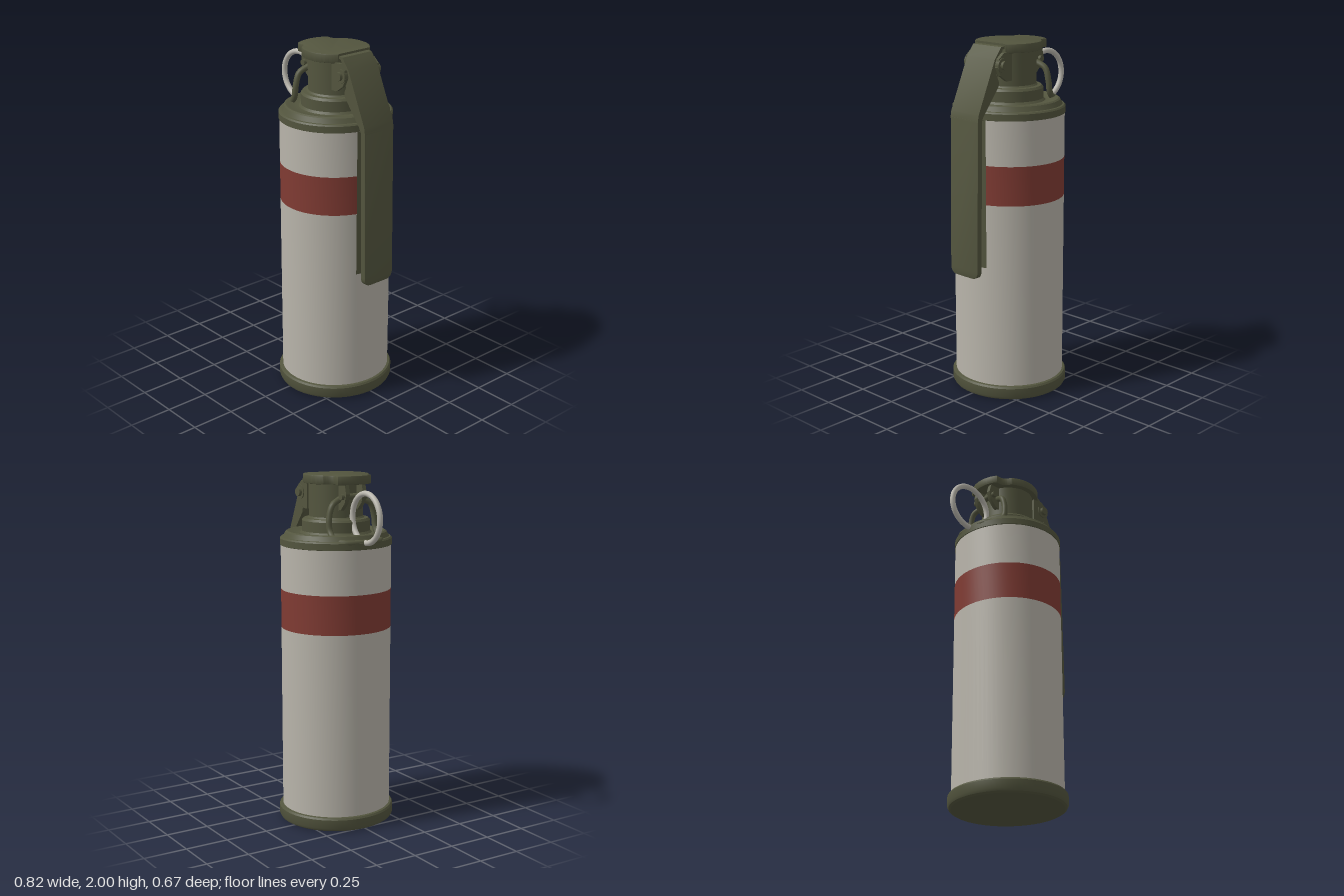
import * as THREE from 'three';
import { toCreasedNormals } from 'three/addons/utils/BufferGeometryUtils.js';

const mat = (name, color) => {
  const m = new THREE.MeshStandardMaterial({ color });
  m.name = name;
  return m;
};

export function createModel() {
  const olive = mat('olive metal', 0x53553e);
  const white = mat('pale grey paint', 0xb8b4aa);
  const red = mat('red band paint', 0x803b33);
  const steel = mat('ring steel', 0xbab7ae);

  const model = new THREE.Group();
  model.name = 'canister';
  const add = (parent, name, geometry, material) => {
    const m = new THREE.Mesh(geometry, material);
    m.name = name;
    parent.add(m);
    return m;
  };
  const crease = (g) => toCreasedNormals(g, 0.5);
  const lathe = (pts) => crease(new THREE.LatheGeometry(pts.map(p => new THREE.Vector2(...p)), 72));
  const extrude = (shape, depth, bevel = 0) => crease(new THREE.ExtrudeGeometry(shape, {
    depth, curveSegments: 20, bevelEnabled: bevel > 0, bevelSize: bevel,
    bevelThickness: bevel, bevelOffset: -bevel, bevelSegments: 2,
  }));
  const poly = (pts) => new THREE.Shape(pts.map(p => new THREE.Vector2(...p)));
  const tube = (pts, r, closed = false) => new THREE.TubeGeometry(
    new THREE.CatmullRomCurve3(pts.map(p => new THREE.Vector3(...p)), closed), 64, r, 12, closed);

  // Turned parts share one slightly narrowed axis
  const turned = new THREE.Group();
  turned.name = 'turnedBody';
  turned.position.x = 0.045;
  turned.scale.x = 0.97;
  model.add(turned);

  add(turned, 'baseCap', lathe([[0, 0], [0.315, 0], [0.328, 0.008], [0.335, 0.022],
    [0.335, 0.07], [0.328, 0.08], [0.31, 0.084]]), olive);
  add(turned, 'lowerBody', lathe([[0.315, 0.07], [0.315, 1.135]]), white);
  add(turned, 'redBand', lathe([[0.315, 1.135], [0.315, 1.355]]), red);
  add(turned, 'upperBody', lathe([[0.315, 1.355], [0.315, 1.61]]), white);
  add(turned, 'topCap', lathe([[0.31, 1.602], [0.319, 1.606], [0.319, 1.642], [0.312, 1.65],
    [0.302, 1.652], [0.288, 1.678], [0.278, 1.684], [0.262, 1.682], [0.235, 1.672],
    [0.205, 1.672], [0.194, 1.684]]), olive);
  add(turned, 'neck', lathe([[0.194, 1.67], [0.194, 1.742], [0.184, 1.755], [0.162, 1.757],
    [0.154, 1.766], [0.154, 1.955]]), olive);

  // Painted strip on the body behind the lever
  add(turned, 'leverBacking', new THREE.CylinderGeometry(0.318, 0.318, 0.83, 16, 1, true,
    Math.PI / 2 - 0.335, 0.67), olive).position.y = 1.19;

  // Head plate: round, cut flat at the hinge, with a tab on the pin side
  const head = new THREE.Shape();
  const a = Math.acos(0.145 / 0.185);
  head.moveTo(0.19, -0.115);
  head.lineTo(0.19, 0.115);
  head.absarc(0.045, 0, 0.185, a, 2.2, false);
  head.quadraticCurveTo(-0.09, 0.105, -0.115, 0.108);
  head.lineTo(-0.145, 0.108);
  head.quadraticCurveTo(-0.178, 0.06, -0.178, 0);
  head.quadraticCurveTo(-0.178, -0.06, -0.145, -0.108);
  head.lineTo(-0.115, -0.108);
  head.quadraticCurveTo(-0.09, -0.105, 0.045 + 0.185 * Math.cos(2.2), -0.185 * Math.sin(2.2));
  head.absarc(0.045, 0, 0.185, -2.2, -a, false);
  const headPlate = add(model, 'headPlate', extrude(head, 0.038, 0.006), olive);
  headPlate.rotation.x = -Math.PI / 2;
  headPlate.position.y = 1.956;

  // Pin lugs under the tab, and the pin through them
  for (const s of [-1, 1]) {
    const lug = add(model, 'pinLug', extrude(poly([[-0.15, 1.955], [-0.165, 1.9], [-0.15, 1.85],
      [-0.11, 1.81], [-0.07, 1.8], [-0.07, 1.955]]), 0.025), olive);
    lug.position.z = s * 0.055 - 0.0125;
  }
  const pin = add(model, 'pin', new THREE.CylinderGeometry(0.017, 0.017, 0.17, 16), olive);
  pin.rotation.x = Math.PI / 2;
  pin.position.set(-0.135, 1.885, 0);

  // Pull ring and the hanging wire loop
  add(model, 'pullRing', new THREE.TorusGeometry(0.134, 0.016, 14, 56), steel)
    .position.set(-0.26, 1.775, 0);
  const leg = [[-0.1, 1.87, 0.07], [-0.115, 1.84, 0.125], [-0.118, 1.77, 0.148],
    [-0.13, 1.7, 0.15], [-0.18, 1.655, 0.145], [-0.23, 1.643, 0.105], [-0.243, 1.642, 0.05]];
  add(model, 'wireLoop', tube([...leg, ...leg.map(([x, y, z]) => [x, y, -z]).reverse()], 0.017), olive);

  // Hinge block, ears and bolt
  add(model, 'hingeBlock', new THREE.BoxGeometry(0.08, 0.13, 0.17), olive).position.set(0.185, 1.89, 0);
  for (const s of [-1, 1]) {
    const ear = add(model, 'hingeEar', extrude(poly([[0.15, 1.955], [0.215, 1.955], [0.252, 1.925],
      [0.262, 1.88], [0.24, 1.835], [0.19, 1.8], [0.15, 1.8]]), 0.02), olive);
    ear.position.z = s * 0.115 - 0.01;
  }
  const bolt = (name, r, len) => {
    const m = add(model, name, new THREE.CylinderGeometry(r, r, len, 20), olive);
    m.rotation.x = Math.PI / 2;
    m.position.set(0.222, 1.89, 0);
  };
  bolt('hingeBolt', 0.024, 0.295);
  bolt('hingeWasher', 0.04, 0.262);

  // Lever: folded upper plate with side cheeks
  const lever = new THREE.Group();
  lever.name = 'lever';
  model.add(lever);
  add(lever, 'leverUpperPlate', extrude(poly([[0.185, 1.975], [0.19, 1.988], [0.215, 1.985],
    [0.262, 1.925], [0.388, 1.64], [0.395, 1.6], [0.381, 1.6], [0.374, 1.638],
    [0.25, 1.917], [0.208, 1.97]]), 0.21), olive).position.z = -0.105;
  for (const s of [-1, 1]) {
    add(lever, 'leverCheek', extrude(poly([[0.205, 1.97], [0.215, 1.98], [0.262, 1.92],
      [0.387, 1.638], [0.393, 1.6], [0.366, 1.6], [0.35, 1.63], [0.235, 1.775],
      [0.232, 1.8], [0.25, 1.84], [0.215, 1.9]]), 0.014), olive).position.z = s * 0.098 - 0.007;
  }

  // Lever: straight lower strip, a plate with a raised inner rim
  const strip = (w, bottom, r) => {
    const sh = new THREE.Shape();
    sh.moveTo(w, 0);
    sh.lineTo(-w, 0);
    sh.lineTo(-w, bottom + r);
    sh.quadraticCurveTo(-w, bottom, -w + r, bottom);
    sh.lineTo(w - r, bottom);
    sh.quadraticCurveTo(w, bottom, w, bottom + r);
    return sh;
  };
  const lower = new THREE.Group();
  lower.name = 'leverLower';
  lower.position.set(0.393, 1.61, 0);
  lower.rotation.z = 0.015;
  lever.add(lower);
  const plate = add(lower, 'leverPlate', extrude(strip(0.105, -0.89, 0.05), 0.012, 0.003), olive);
  const rimShape = strip(0.105, -0.89, 0.05);
  rimShape.holes.push(strip(0.092, -0.877, 0.042));
  const rim = add(lower, 'leverRim', extrude(rimShape, 0.024), olive);
  plate.rotation.y = rim.rotation.y = Math.PI / 2;
  plate.position.x = -0.014;
  rim.position.x = -0.03;

  return model;
}
